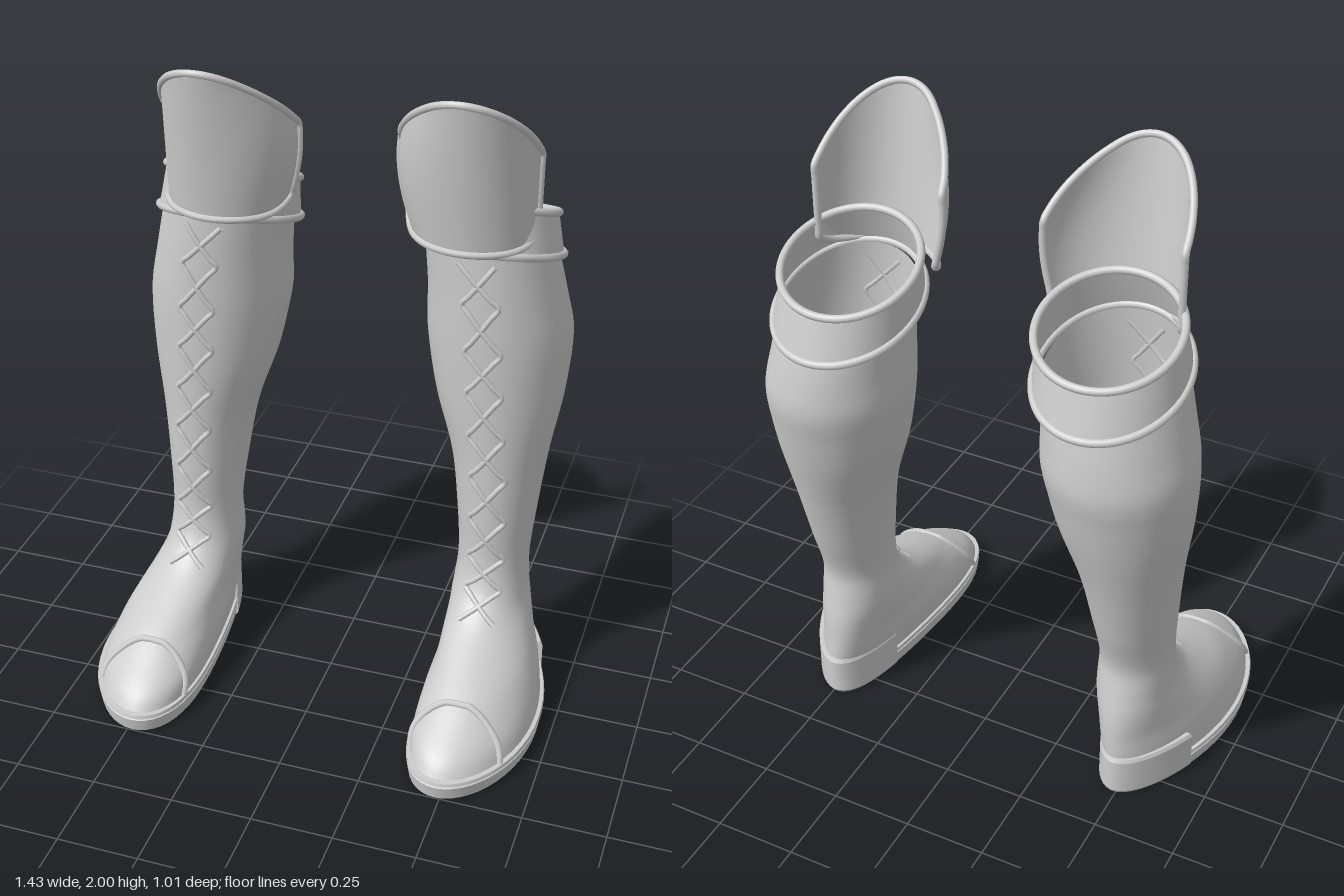
import * as THREE from 'three';

// Horizontal sections of one boot: y, back z, front z, centre x (back, front), half width (back, front)
const SECTIONS = [
  [0.05, -0.345, 0.492, 0.49, 0.485, 0.135, 0.2],
  [0.10, -0.347, 0.45, 0.49, 0.485, 0.135, 0.195],
  [0.15, -0.347, 0.365, 0.485, 0.49, 0.133, 0.18],
  [0.20, -0.345, 0.275, 0.48, 0.495, 0.128, 0.155],
  [0.25, -0.342, 0.16, 0.48, 0.485, 0.125, 0.135],
  [0.30, -0.335, 0.055, 0.48, 0.48, 0.122, 0.12],
  [0.36, -0.322, -0.015, 0.48, 0.48, 0.115, 0.115],
  [0.45, -0.31, -0.05, 0.48, 0.48, 0.11, 0.11],
  [0.60, -0.355, -0.053, 0.478, 0.478, 0.122, 0.122],
  [0.80, -0.41, -0.053, 0.472, 0.472, 0.148, 0.148],
  [1.00, -0.465, -0.05, 0.455, 0.455, 0.195, 0.195],
  [1.20, -0.5, -0.048, 0.442, 0.442, 0.217, 0.217],
  [1.35, -0.492, -0.05, 0.428, 0.428, 0.205, 0.205],
  [1.50, -0.47, -0.055, 0.408, 0.408, 0.195, 0.195],
];
const { lerp, clamp } = THREE.MathUtils;
const V = (x, y, z) => new THREE.Vector3(x, y, z);

// Smoothly interpolated section at height y
function sectionAt(y) {
  const S = SECTIONS, n = S.length;
  let i = 0;
  while (i < n - 2 && S[i + 1][0] < y) i++;
  const a = S[i], b = S[i + 1], p = S[Math.max(i - 1, 0)], q = S[Math.min(i + 2, n - 1)];
  const h = b[0] - a[0], t = clamp((y - a[0]) / h, 0, 1), t2 = t * t, t3 = t2 * t;
  const v = a.map((_, k) => {
    const m0 = h * (b[k] - p[k]) / (b[0] - p[0]), m1 = h * (q[k] - a[k]) / (q[0] - a[0]);
    return (2 * t3 - 3 * t2 + 1) * a[k] + (t3 - 2 * t2 + t) * m0 + (3 * t2 - 2 * t3) * b[k] + (t3 - t2) * m1;
  });
  return { zc: (v[1] + v[2]) / 2, hz: (v[2] - v[1]) / 2, cB: v[3], cF: v[4], wB: v[5], wF: v[6],
    bow: 0.045 * clamp(1 - (y - 0.05) / 0.28, 0, 1) };
}

// Point on the boot surface; angle 0 is the front, quarter turn is the outer side
function surface(y, t, grow = 0, s = sectionAt(y)) {
  const f = (Math.cos(t) + 1) / 2;
  return V(lerp(s.cB, s.cF, f) + s.bow * Math.sin(Math.PI * f) + (lerp(s.wB, s.wF, f) + grow) * Math.sin(t),
    y, s.zc + (s.hz + grow) * Math.cos(t));
}
const loop = (n, fn) => Array.from({ length: n }, (_, i) => fn(i / n * Math.PI * 2));

// Skin over rings of equal point count
function loft(rings, closed = true) {
  const n = rings[0].length, pos = [], idx = [];
  rings.forEach(r => r.forEach(p => pos.push(p.x, p.y, p.z)));
  for (let r = 0; r < rings.length - 1; r++) {
    for (let i = 0; i < (closed ? n : n - 1); i++) {
      const a = r * n + i, b = r * n + (i + 1) % n;
      idx.push(a, b, a + n, b, b + n, a + n);
    }
  }
  const g = new THREE.BufferGeometry();
  g.setAttribute('position', new THREE.Float32BufferAttribute(pos, 3));
  g.setIndex(idx);
  g.computeVertexNormals();
  return g;
}

// Solid slab from stacked outlines, with crisp edges and end caps
function slab(rings) {
  const flat = r => {
    const c = r.reduce((s, p) => s.add(p), V(0, 0, 0)).divideScalar(r.length);
    return r.map(() => c);
  };
  const first = rings[0], last = rings[rings.length - 1];
  const walls = [];
  for (let i = 0; i < rings.length - 1; i++) walls.push(rings[i], rings[i + 1]);
  return loft([flat(first), first, ...walls, last, flat(last)]);
}
const tube = (pts, r, closed, seg = 96) =>
  new THREE.TubeGeometry(new THREE.CatmullRomCurve3(pts, closed, 'centripetal'), seg, r, 8, closed);

// Upper: foot and shaft in one skin, ending on a slanted line under the cuff
function upperGeometry() {
  const rings = [];
  for (let i = 0; i <= 64; i++) {
    const k = i / 64, y = 0.05 + 1.45 * (0.55 * k + 0.45 * k * k);
    rings.push(loop(56, t => {
      const p = surface(y, t);
      if (y > 1.1) p.y = 1.1 + (y - 1.1) / 0.4 * (1.535 + 0.34 * (p.z + 0.02) - 1.1);
      return p;
    }));
  }
  return loft(rings);
}

function soleGeometry() {
  const ring = (y, grow) => loop(56, t => surface(0.05, t, grow).setY(y));
  return slab([ring(0, 0.005), ring(0.043, 0.012), ring(0.046, 0.006), ring(0.05, 0.013), ring(0.06, 0.01)]);
}

function heelGeometry() {
  const ring = (y, grow) => {
    const s = sectionAt(0.05);
    const t0 = Math.acos((-0.15 - s.zc) / (s.hz + grow));
    const pts = Array.from({ length: 25 }, (_, i) => surface(0.05, lerp(t0, 2 * Math.PI - t0, i / 24), grow).setY(y));
    return [...pts, pts[24].clone(), pts[0].clone()];
  };
  return slab([ring(0, 0.008), ring(0.012, 0.015), ring(0.125, 0.014), ring(0.135, 0.008)]);
}

// Cuff rings, tilted down towards the back
const cuffLow = t => {
  const z = -0.265 + 0.228 * Math.cos(t);
  return V(0.405 + 0.21 * Math.sin(t), 1.53 + 0.345 * (z + 0.02), z);
};
const cuffHigh = t => {
  const z = -0.268 + 0.187 * Math.cos(t);
  return V(0.393 + 0.2 * Math.sin(t), 1.61 + 0.4 * (z + 0.18), z);
};

// Knee guard: u runs from inner edge (-1) to outer edge (1), v from bottom to top
function guardPoint(u, v) {
  const a = u * 1.52, drop = 1 - Math.cos(a);
  const y = lerp(1.527 + 0.04 * Math.pow(Math.abs(u), 6), 2 - 0.21 * drop - 0.01, v);
  const k = (y - 1.53) / 0.47;
  const w = u < 0 ? 0.185 + 0.04 * Math.sin(Math.PI * clamp(k / 0.9, 0, 1)) : 0.18;
  return V(0.375 + w * Math.sin(a), y, -0.015 + 0.07 * k - (0.165 + 0.07 * k) * drop);
}
function guardGeometry() {
  const rings = [];
  for (let j = 0; j <= 16; j++) {
    rings.push(Array.from({ length: 41 }, (_, i) => guardPoint(i / 20 - 1, j / 16)));
  }
  return loft(rings, false);
}
function guardTrim() {
  const pts = [];
  for (let i = 0; i < 24; i++) pts.push(guardPoint(i / 12 - 1, 0));
  for (let i = 0; i < 8; i++) pts.push(guardPoint(1, i / 8));
  for (let i = 0; i < 24; i++) pts.push(guardPoint(1 - i / 12, 1));
  for (let i = 0; i < 8; i++) pts.push(guardPoint(-1, 1 - i / 8));
  return tube(pts, 0.011, true, 160);
}

// Band across the toe, lying on the foot surface
function toeTrim() {
  const side = Array.from({ length: 13 }, (_, i) => {
    const y = lerp(0.055, 0.19, Math.sin(i / 12 * Math.PI / 2)), s = sectionAt(y);
    return [y, Math.acos(clamp((0.288 + (0.19 - y) * 0.5 - s.zc) / s.hz, -1, 1))];
  });
  const outer = side.map(([y, t]) => surface(y, t));
  const inner = side.slice(0, -1).reverse().map(([y, t]) => surface(y, -t));
  return tube([...outer, ...inner], 0.011, false);
}

// One zigzag lace down the shin
const LACE_Y = [1.48, 1.353, 1.204, 1.066, 0.918, 0.775, 0.626, 0.488, 0.385, 0.305];
function lace(sign) {
  const pts = [];
  const at = (y, off) => {
    const s = sectionAt(y);
    return surface(y, Math.asin(off / s.wF), 0.005);
  };
  LACE_Y.forEach((y, i) => {
    const d = sign * (i % 2 ? -1 : 1) * 0.053;
    if (i === LACE_Y.length - 1) return pts.push(at(y, d));
    for (let k = 0; k < 5; k++) pts.push(at(lerp(y, LACE_Y[i + 1], k / 5), d * (1 - 2 * k / 5)));
  });
  return tube(pts, 0.008, false, 180);
}

// Mirrored copy across x with corner order restored
function mirrored(g) {
  const m = g.clone().scale(-1, 1, 1), a = m.index.array;
  for (let i = 0; i < a.length; i += 3) [a[i + 1], a[i + 2]] = [a[i + 2], a[i + 1]];
  return m;
}

export function createModel() {
  const grey = new THREE.MeshStandardMaterial({ color: 0xcccccc, side: THREE.DoubleSide });
  grey.name = 'grey leather';
  const parts = {
    upper: upperGeometry(),
    sole: soleGeometry(),
    heel: heelGeometry(),
    cuff: loft([loop(48, cuffLow), loop(48, cuffHigh)]),
    cuffLowerTrim: tube(loop(32, cuffLow), 0.012, true),
    cuffUpperTrim: tube(loop(32, cuffHigh), 0.012, true),
    kneeGuard: guardGeometry(),
    kneeGuardTrim: guardTrim(),
    toeTrim: toeTrim(),
    laceOne: lace(1),
    laceTwo: lace(-1),
  };
  const model = new THREE.Group();
  model.name = 'boots';
  for (const name of ['leftBoot', 'rightBoot']) {
    const boot = new THREE.Group();
    boot.name = name;
    for (const [part, g] of Object.entries(parts)) {
      const mesh = new THREE.Mesh(name === 'leftBoot' ? g : mirrored(g), grey);
      mesh.name = part;
      boot.add(mesh);
    }
    model.add(boot);
  }
  return model;
}
